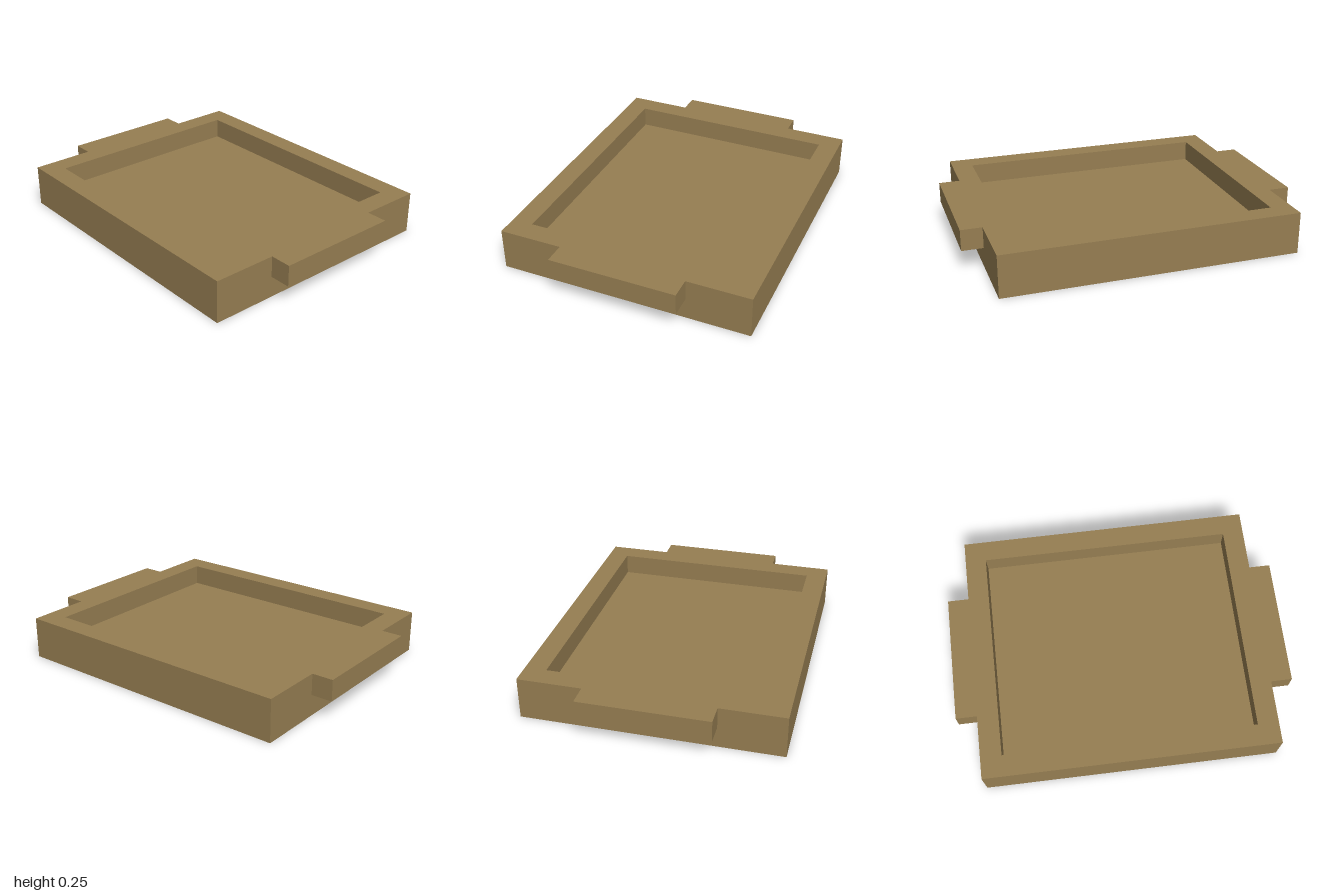
import * as THREE from 'three';

const WIDTH = 1.75, DEPTH = 1.5, LAYER = 0.125, WALL = 0.125;
const HANDLE_X = 1, HANDLE_Z = 0.375;

export function createModel() {
  const tray = new THREE.Group();
  tray.name = 'tray';
  const wood = new THREE.MeshStandardMaterial({ color: 0x967e52 });
  wood.name = 'wood';

  // Solid base, whose top is the tray floor
  const base = new THREE.Mesh(new THREE.BoxGeometry(WIDTH, LAYER, DEPTH), wood);
  base.name = 'base';
  base.position.y = LAYER / 2;
  tray.add(base);

  // Rim outline with a handle tab on each side
  const x = WIDTH / 2, z = DEPTH / 2;
  const outline = new THREE.Shape([
    [-x, -z], [x, -z],
    [x, -HANDLE_Z], [HANDLE_X, -HANDLE_Z], [HANDLE_X, HANDLE_Z], [x, HANDLE_Z],
    [x, z], [-x, z],
    [-x, HANDLE_Z], [-HANDLE_X, HANDLE_Z], [-HANDLE_X, -HANDLE_Z], [-x, -HANDLE_Z],
  ].map(([a, b]) => new THREE.Vector2(a, b)));

  // Rectangular recess
  const ix = x - WALL, iz = z - WALL;
  outline.holes.push(new THREE.Path(
    [[-ix, -iz], [-ix, iz], [ix, iz], [ix, -iz]].map(([a, b]) => new THREE.Vector2(a, b))
  ));

  const rimGeometry = new THREE.ExtrudeGeometry(outline, { depth: LAYER, bevelEnabled: false });
  rimGeometry.rotateX(-Math.PI / 2);
  const rim = new THREE.Mesh(rimGeometry, wood);
  rim.name = 'rimWithHandles';
  rim.position.y = LAYER;
  tray.add(rim);

  return tray;
}
